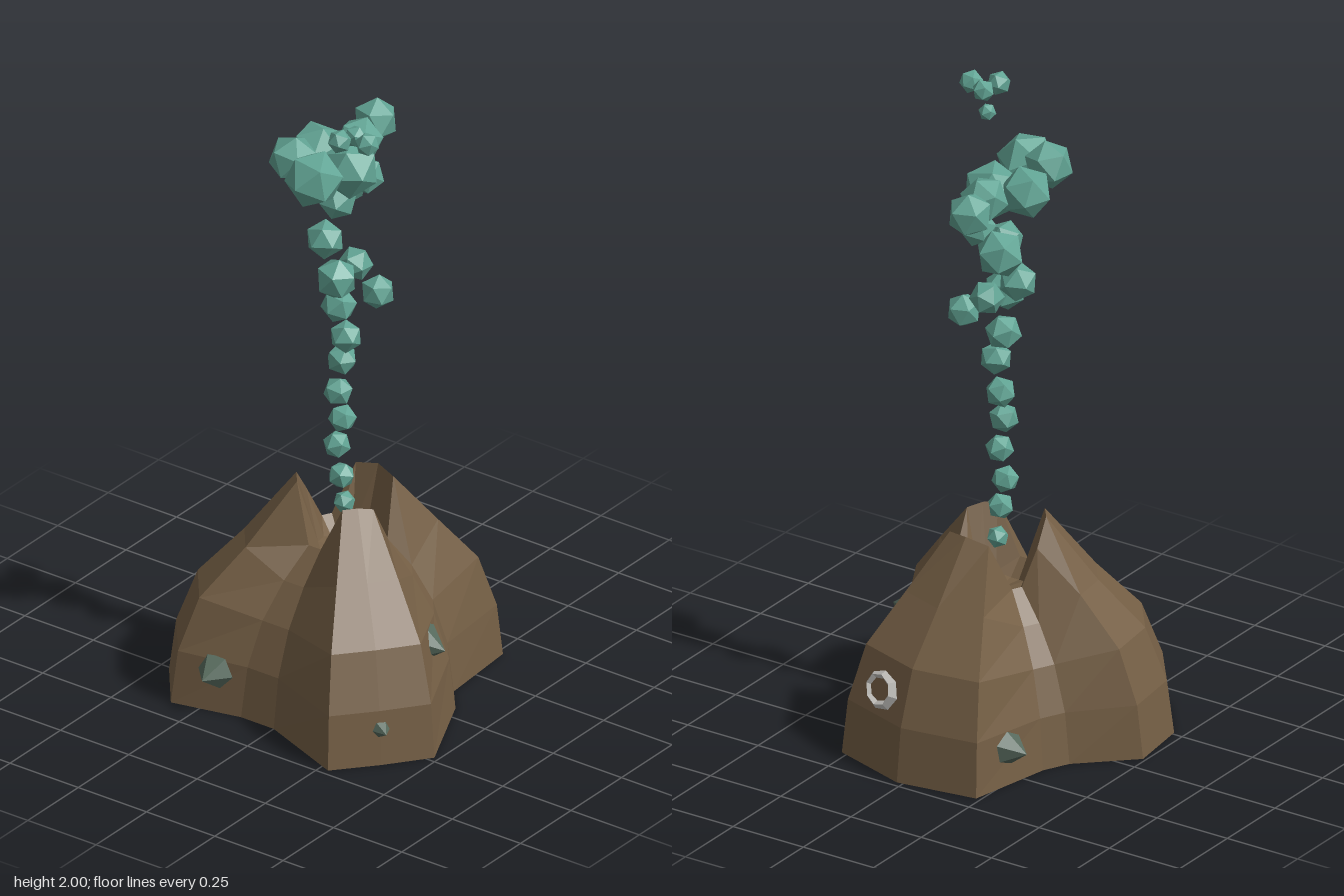
import * as THREE from 'three';

const rock = new THREE.MeshStandardMaterial({ color: 0x755f45, flatShading: true });
rock.name = 'brown rock';
const teal = new THREE.MeshStandardMaterial({ color: 0x62a595, flatShading: true });
teal.name = 'teal bubble';
const moss = new THREE.MeshStandardMaterial({ color: 0x56695c, flatShading: true });
moss.name = 'grey green spike';
const pale = new THREE.MeshStandardMaterial({ color: 0xc6c4c0, flatShading: true });
pale.name = 'pale grey ring';

// Footprint, five columns per lobe: x, z, rim height (three on the lobe, two in the valley)
const columns = [
  [0.44, -0.235, 0.655], [0.48, 0.02, 0.67], [0.40, 0.27, 0.66], [0.13, 0.29, 0.49], [0.05, 0.355, 0.51],
  [-0.23, 0.485, 0.65], [-0.36, 0.385, 0.66], [-0.48, 0.28, 0.66], [-0.37, 0.0, 0.5], [-0.37, -0.12, 0.5],
  [-0.42, -0.34, 0.69], [-0.26, -0.465, 0.69], [-0.06, -0.49, 0.61], [0.09, -0.33, 0.5], [0.17, -0.29, 0.5],
];
// Each level: [scale, height] for lobe and valley; a null height means the rim
const levels = [
  { lobe: [0, 0], valley: [0, 0] },
  { lobe: [1, 0], valley: [1, 0] },
  { lobe: [0.96, 0.17], valley: [0.94, 0.16] },
  { lobe: [0.84, 0.34], valley: [0.8, 0.3] },
  { lobe: [0.58, 0.49], valley: [0.6, 0.41] },
  { lobe: [0.29, null], valley: [0.37, null] },
  { lobe: [0.17, 0.46], valley: [0.24, 0.45] },
  { lobe: [0, 0.44], valley: [0, 0.44] },
];

function moundGeometry() {
  const n = columns.length;
  const point = (level, i) => {
    const [x, z, rim] = columns[i % n];
    const [s, y] = (i % n) % 5 < 3 ? level.lobe : level.valley;
    return [x * s, y === null ? rim : y, z * s];
  };
  const pos = [];
  for (let k = 0; k + 1 < levels.length; k++) {
    for (let i = 0; i < n; i++) {
      const a = point(levels[k], i), b = point(levels[k], i + 1);
      const c = point(levels[k + 1], i), d = point(levels[k + 1], i + 1);
      if (k > 0) pos.push(...b, ...a, ...c);
      if (k + 2 < levels.length) pos.push(...b, ...c, ...d);
    }
  }
  const g = new THREE.BufferGeometry();
  g.setAttribute('position', new THREE.Float32BufferAttribute(pos, 3));
  g.computeVertexNormals();
  return g;
}

// Bubbles: x, y, z, radius
const stream = [
  [-0.02, 0.61, 0, 0.034], [-0.035, 0.705, 0, 0.042], [-0.03, 0.80, -0.02, 0.043], [-0.03, 0.895, 0, 0.044],
  [-0.045, 0.99, -0.005, 0.046], [-0.02, 1.085, -0.01, 0.048], [-0.04, 1.18, 0.02, 0.05],
  [-0.035, 1.275, -0.01, 0.056], [0.01, 1.335, 0.10, 0.054], [-0.08, 1.39, 0.015, 0.066],
  [0.015, 1.40, 0.015, 0.053], [-0.015, 1.465, -0.075, 0.06],
];
const cloud = [
  [0, 1.60, -0.04, 0.058], [0.1, 1.605, -0.09, 0.076], [0.085, 1.66, 0, 0.058],
  [-0.185, 1.77, 0.01, 0.09], [-0.155, 1.795, -0.09, 0.075], [-0.015, 1.765, -0.105, 0.08],
  [-0.02, 1.735, 0.02, 0.09], [0.095, 1.765, -0.03, 0.073], [0.215, 1.77, -0.06, 0.07],
];
const puff = [
  [-0.24, 1.965, 0.145, 0.037], [-0.18, 1.96, 0.16, 0.035], [-0.205, 1.964, 0.22, 0.037], [-0.135, 1.92, 0.115, 0.027],
];

function bubbleGroup(name, list) {
  const group = new THREE.Group();
  group.name = name;
  list.forEach(([x, y, z, r], i) => {
    const bubble = new THREE.Mesh(new THREE.IcosahedronGeometry(r, 0), teal);
    bubble.name = 'bubble';
    bubble.position.set(x, y, z);
    bubble.rotation.set(i * 1.3, i * 2.1, i * 0.7);
    group.add(bubble);
  });
  return group;
}

// Cone spike, base at p, pointing along dir
function spike(p, dir, radius, height) {
  const geo = new THREE.ConeGeometry(radius, height, 6).translate(0, height / 2, 0);
  const mesh = new THREE.Mesh(geo, moss);
  mesh.name = 'spike';
  mesh.position.set(...p);
  mesh.quaternion.setFromUnitVectors(new THREE.Vector3(0, 1, 0), new THREE.Vector3(...dir).normalize());
  return mesh;
}

export function createModel() {
  const model = new THREE.Group();
  model.name = 'bubblingVent';

  const mound = new THREE.Mesh(moundGeometry(), rock);
  mound.name = 'rockMound';
  model.add(mound);

  // Spikes around the sides
  const spikes = new THREE.Group();
  spikes.name = 'spikes';
  spikes.add(
    spike([-0.325, 0.11, 0.345], [-0.5, 0, 0.8], 0.053, 0.075),
    spike([-0.07, 0.265, 0.32], [-0.05, 0, 1], 0.066, 0.09),
    spike([0.29, 0.11, -0.235], [0.1, 0, -1], 0.066, 0.085),
    spike([-0.37, 0.125, -0.215], [-1, 0, 0.1], 0.06, 0.075),
  );
  model.add(spikes);

  // Eight-sided ring set in the side of the right lobe
  const ring = new THREE.Mesh(new THREE.TorusGeometry(0.057, 0.022, 4, 8), pale);
  ring.name = 'ring';
  ring.scale.set(1, 0.82, 0.8);
  ring.position.set(0.395, 0.24, 0.13);
  ring.lookAt(0.395 + 0.9, 0.24 + 0.3, 0.13 + 0.36);
  model.add(ring);

  model.add(bubbleGroup('bubbleStream', stream), bubbleGroup('bubbleCloud', cloud), bubbleGroup('topPuff', puff));
  return model;
}
